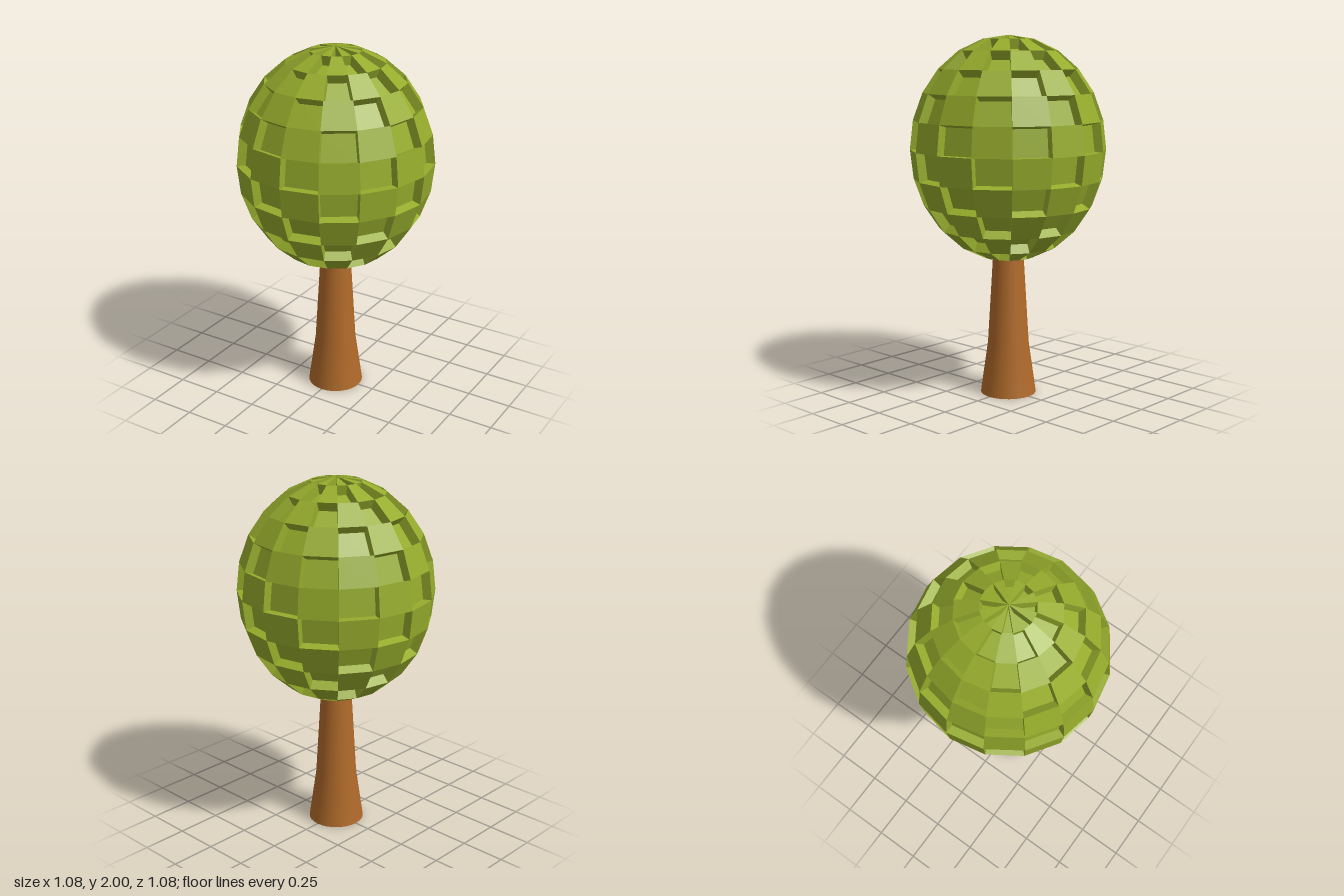
import * as THREE from 'three';

const COLUMNS = 16, ROWS = 12;
const RADIUS = 0.54, HALF_HEIGHT = 0.62, CENTRE_Y = 1.38;
const RECESS = 0.91; // scale of the sunken panels towards the crown's centre

// Point on the crown's ellipsoid; column 0 starts at the front and runs towards +x
function crownPoint(row, column, scale) {
  const polar = (row / ROWS) * Math.PI;
  const turn = (column / COLUMNS) * Math.PI * 2;
  const r = RADIUS * Math.sin(polar);
  return new THREE.Vector3(r * Math.sin(turn), HALF_HEIGHT * Math.cos(polar), r * Math.cos(turn))
    .multiplyScalar(scale);
}

function createCrownGeometry() {
  const positions = [];
  const triangle = (a, b, c) => {
    if (a.distanceTo(b) < 1e-6 || b.distanceTo(c) < 1e-6 || c.distanceTo(a) < 1e-6) return;
    for (const p of [a, b, c]) positions.push(p.x, p.y, p.z);
  };
  const quad = (a, b, c, d) => {
    triangle(a, b, c);
    triangle(a, c, d);
  };
  const corners = (row, column, scale) => [
    crownPoint(row, column, scale),
    crownPoint(row + 1, column, scale),
    crownPoint(row + 1, column + 1, scale),
    crownPoint(row, column + 1, scale),
  ];

  for (let row = 0; row < ROWS; row++) {
    for (let column = 0; column < COLUMNS; column++) {
      const outer = corners(row, column, 1);
      if ((row + column) % 2 === 0) {
        quad(...outer);
        continue;
      }
      // Sunken panel with its four walls
      const inner = corners(row, column, RECESS);
      quad(...inner);
      for (let i = 0; i < 4; i++) {
        const j = (i + 1) % 4;
        quad(inner[j], inner[i], outer[i], outer[j]);
      }
    }
  }
  const geometry = new THREE.BufferGeometry();
  geometry.setAttribute('position', new THREE.Float32BufferAttribute(positions, 3));
  geometry.computeVertexNormals();
  return geometry;
}

export function createModel() {
  const model = new THREE.Group();
  model.name = 'tree';

  // Crown: checkerboard of raised and sunken panels
  const crown = new THREE.Mesh(
    createCrownGeometry(),
    new THREE.MeshStandardMaterial({ color: 0x96ac2c, flatShading: true })
  );
  crown.name = 'crown';
  crown.position.y = CENTRE_Y;
  model.add(crown);

  // Trunk: open flared tube running up into the crown
  const profile = [[0.156, 0], [0.115, 0.29], [0.087, 0.76], [0.084, 0.86]]
    .map(([r, y]) => new THREE.Vector2(r, y));
  const trunk = new THREE.Mesh(
    new THREE.LatheGeometry(profile, 32),
    new THREE.MeshStandardMaterial({ color: 0xb06a2a, side: THREE.DoubleSide })
  );
  trunk.name = 'trunk';
  model.add(trunk);

  return model;
}
